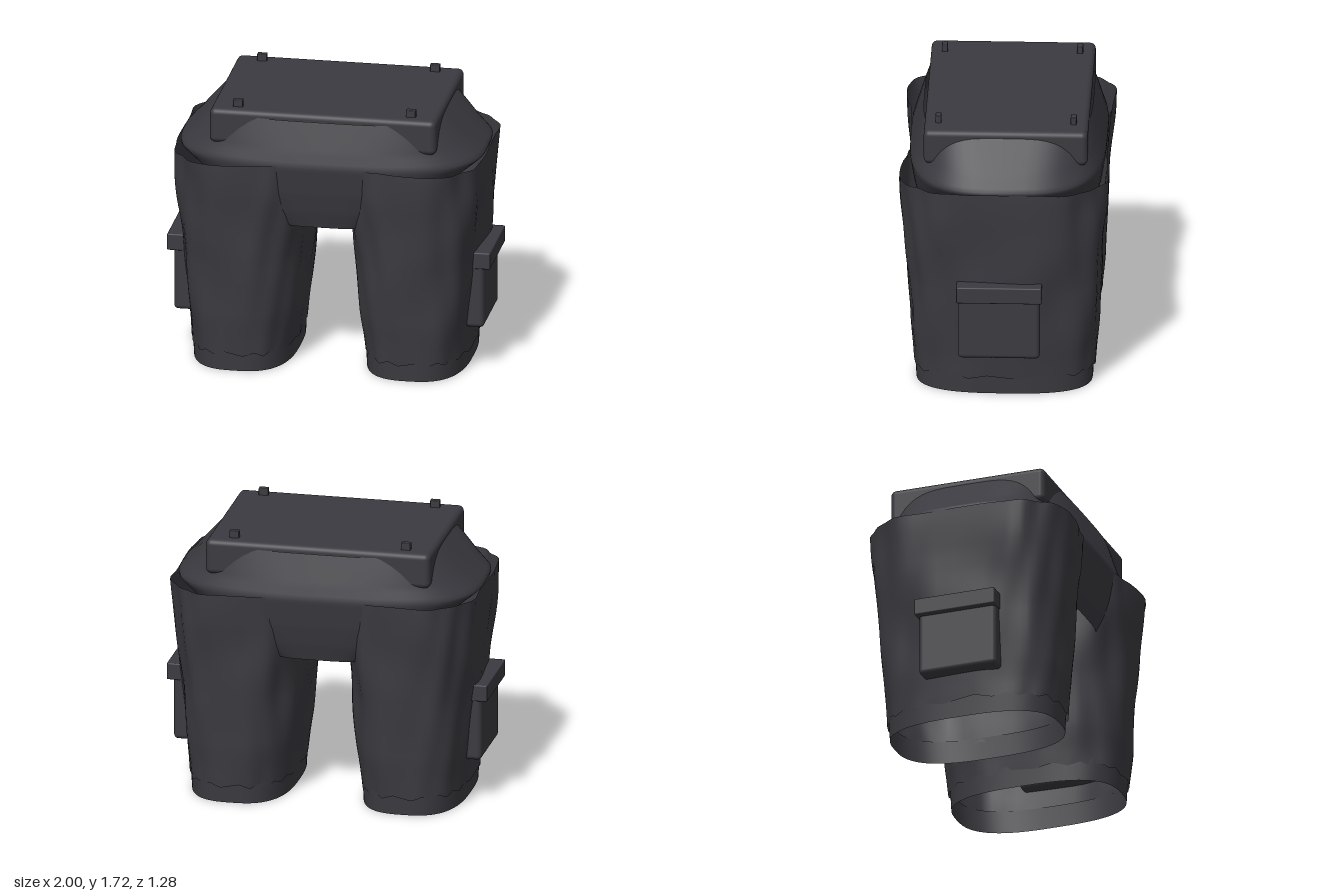
import * as THREE from 'three';
import { RoundedBoxGeometry } from 'three/addons/geometries/RoundedBoxGeometry.js';

const cloth = new THREE.MeshStandardMaterial({ color: 0x3a3a40, side: THREE.DoubleSide });
cloth.name = 'charcoal cloth';

const SEG = 72;

// Interpolates a list of [y, inner x, outer x, half depth, squareness] sections
function sectionAt(sections, y) {
  let i = 0;
  while (i < sections.length - 2 && y > sections[i + 1][0]) i++;
  const a = sections[i], b = sections[i + 1];
  const k = (y - a[0]) / (b[0] - a[0]);
  return a.map((v, n) => THREE.MathUtils.lerp(v, b[n], k));
}

// Lofts an open sleeve of superellipse rings; side mirrors the part in x,
// offset(angle, y) returns [outward push, vertical shift]
function loft(sections, { side = 1, rows = 24, offset = () => [0, 0] } = {}) {
  const pos = [], idx = [];
  const y0 = sections[0][0], y1 = sections[sections.length - 1][0];
  for (let i = 0; i <= rows; i++) {
    const [y, xIn, xOut, depth, n] = sectionAt(sections, y0 + (y1 - y0) * i / rows);
    const cx = (xIn + xOut) / 2, w = (xOut - xIn) / 2;
    for (let j = 0; j < SEG; j++) {
      const t = j / SEG * Math.PI * 2, c = Math.cos(t), s = Math.sin(t);
      const [push, lift] = offset(Math.atan2(s, c * side), y);
      const ex = Math.sign(c) * Math.abs(c) ** (2 / n);
      const ez = Math.sign(s) * Math.abs(s) ** (2 / n);
      pos.push(side * cx + ex * (w + push), y + lift, ez * (depth + push));
    }
  }
  for (let i = 0; i < rows; i++) {
    for (let j = 0; j < SEG; j++) {
      const k = (j + 1) % SEG;
      const a = i * SEG + j, b = i * SEG + k, c = a + SEG, d = b + SEG;
      idx.push(a, c, b, b, c, d);
    }
  }
  const geo = new THREE.BufferGeometry();
  geo.setAttribute('position', new THREE.Float32BufferAttribute(pos, 3));
  geo.setIndex(idx);
  geo.computeVertexNormals();
  return geo;
}

function add(parent, name, geometry, x = 0, y = 0, z = 0) {
  const mesh = new THREE.Mesh(geometry, cloth);
  mesh.name = name;
  mesh.position.set(x, y, z);
  parent.add(mesh);
  return mesh;
}

// Long slanting cloth folds, with a scalloped edge just above the hem
function folds(angle, y) {
  const strength = 0.4 + 0.6 * Math.min(1, y / 1.0);
  const push = strength * (0.009 * Math.sin(7 * angle + 3.5 * y)
    + 0.006 * Math.sin(13 * angle - 5 * y + 1) + 0.004 * Math.sin(4 * angle + 11 * y));
  const edge = Math.max(0, 1 - (y - 0.11) / 0.1);
  return [push + 0.003 * edge, 0.012 * edge * Math.sin(18 * angle)];
}

export function createModel() {
  const model = new THREE.Group();
  model.name = 'cargoTrousers';

  // Hips: a hollow shell, widest where the legs begin, open at waist and crotch
  add(model, 'hips', loft([
    [0.95, -0.36, 0.36, 0.515, 4],
    [1.05, -0.52, 0.52, 0.545, 3.9],
    [1.18, -0.72, 0.72, 0.575, 3.6],
    [1.36, -0.95, 0.95, 0.602, 3],
    [1.45, -0.865, 0.865, 0.575, 3.1],
    [1.63, -0.70, 0.70, 0.515, 3.8],
  ], { rows: 34 }), 0, 0, -0.008);

  // Waist block with four belt pegs
  add(model, 'waistBlock', new RoundedBoxGeometry(1.4, 0.22, 1.0, 4, 0.035), 0, 1.56, -0.01);
  for (const x of [-0.535, 0.535]) {
    for (const z of [-0.42, 0.405]) {
      add(model, 'beltPeg', new RoundedBoxGeometry(0.06, 0.08, 0.036, 1, 0.005), x, 1.675, z);
    }
  }

  for (const side of [1, -1]) {
    const leg = new THREE.Group();
    leg.name = side > 0 ? 'leftLeg' : 'rightLeg';
    model.add(leg);

    // Trouser leg
    add(leg, 'trouserLeg', loft([
      [0.11, 0.215, 0.86, 0.55, 2.8],
      [0.35, 0.185, 0.885, 0.575, 2.8],
      [0.70, 0.155, 0.915, 0.59, 2.8],
      [1.00, 0.13, 0.938, 0.61, 3],
      [1.15, 0.12, 0.945, 0.62, 3.2],
      [1.36, 0.12, 0.952, 0.628, 3.4],
    ], { side, rows: 40, offset: folds }));

    // Turned hem
    add(leg, 'hem', loft([
      [0, 0.22, 0.85, 0.538, 2.8],
      [0.15, 0.214, 0.858, 0.546, 2.8],
    ], { side, rows: 2 }));

    // Cargo pocket with overhanging flap
    add(leg, 'pocket', new RoundedBoxGeometry(0.16, 0.42, 0.5, 3, 0.028), side * 0.88, 0.485, 0.022);
    add(leg, 'pocketFlap', new RoundedBoxGeometry(0.13, 0.105, 0.52, 2, 0.008), side * 0.935, 0.712, 0.02);
  }
  return model;
}
